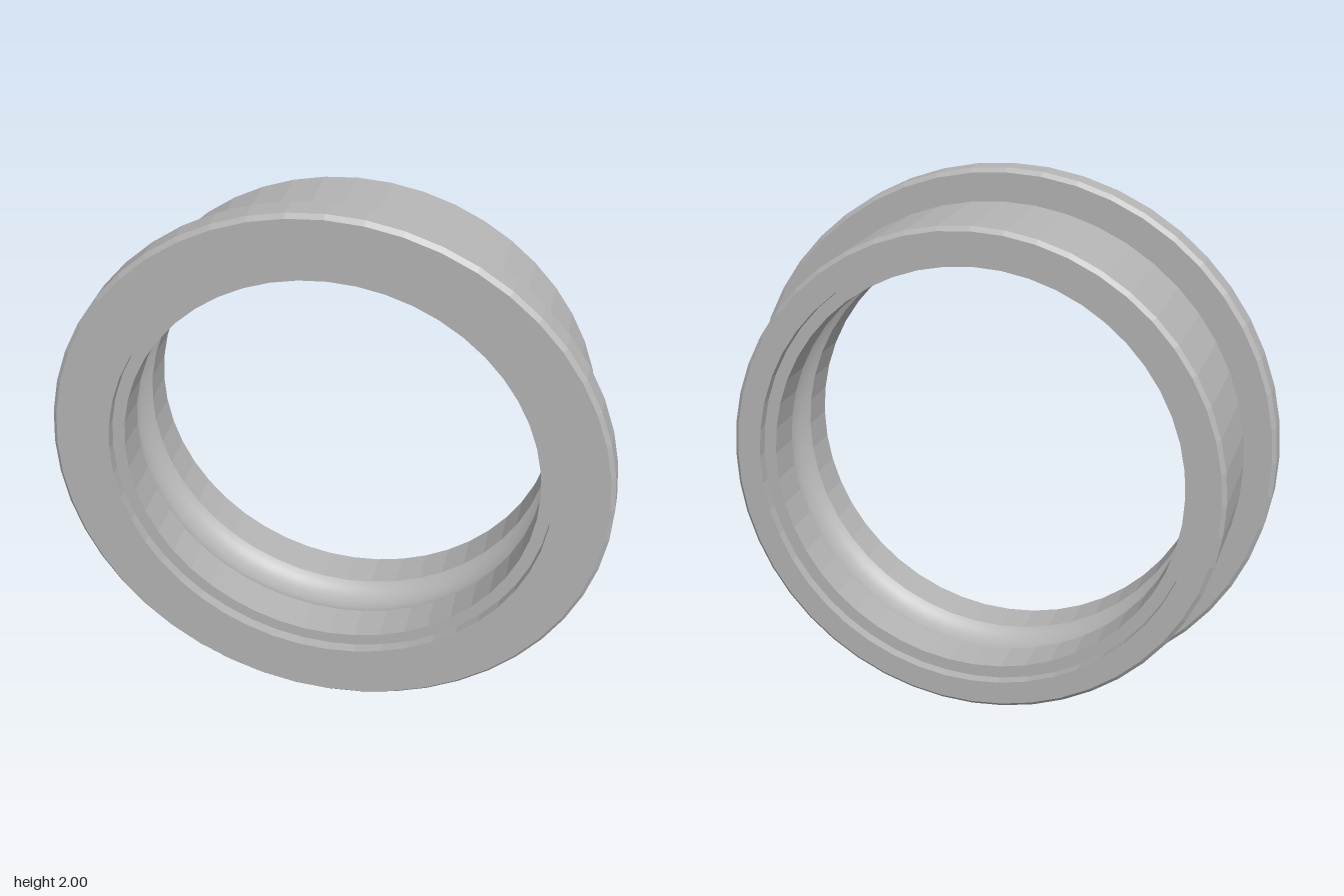
import * as THREE from 'three';

const SEGMENTS = 48;
const H = 0.275; // half of the ring's width
const LAND = 0.745; // bore radius beside the raceway
const RACE = 0.09; // half width of the raceway
const DEPTH = 0.05; // depth of the raceway

const steel = new THREE.MeshStandardMaterial({ color: 0xb4b4b4 });
steel.name = 'steel grey';

// Revolves (radius, z) pairs about the z axis; faceted unless smooth
function revolve(name, profile, smooth = false) {
  let geometry = new THREE.LatheGeometry(
    profile.map(([r, z]) => new THREE.Vector2(r, z)), SEGMENTS);
  geometry.rotateX(Math.PI / 2);
  if (!smooth) {
    geometry = geometry.toNonIndexed();
    geometry.computeVertexNormals();
  }
  const mesh = new THREE.Mesh(geometry, steel);
  mesh.name = name;
  return mesh;
}

export function createModel() {
  const ring = new THREE.Group();
  ring.name = 'flangedBearingRing';

  // Rear rim and chamfered barrel, up to the relief groove
  ring.add(revolve('barrel', [
    [0.79, -H], [0.875, -H], [0.89, -H + 0.015],
    [0.89, 0.125], [0.877, 0.14], [0.877, 0.16],
  ]));

  // Chamfered flange and front face
  ring.add(revolve('flange', [
    [0.877, 0.16], [0.985, 0.16], [1, 0.175],
    [1, H - 0.015], [0.985, H], [0.79, H],
  ]));

  // Shield recess and land on each side of the raceway
  ring.add(revolve('frontBore', [
    [0.79, H], [0.79, H - 0.04], [LAND, H - 0.04], [LAND, RACE],
  ]));
  ring.add(revolve('rearBore', [
    [LAND, -RACE], [LAND, -H + 0.04], [0.79, -H + 0.04], [0.79, -H],
  ]));

  // Smooth circular-arc raceway
  const radius = (RACE * RACE + DEPTH * DEPTH) / (2 * DEPTH);
  const half = Math.asin(RACE / radius);
  const arc = [];
  for (let i = 0; i <= 14; i++) {
    const a = half * (1 - i / 7);
    arc.push([LAND + DEPTH - radius + radius * Math.cos(a), radius * Math.sin(a)]);
  }
  ring.add(revolve('raceway', arc, true));

  // Stand the ring on the ground
  ring.position.y = 1;
  const model = new THREE.Group();
  model.name = 'bearingRing';
  model.add(ring);
  return model;
}
